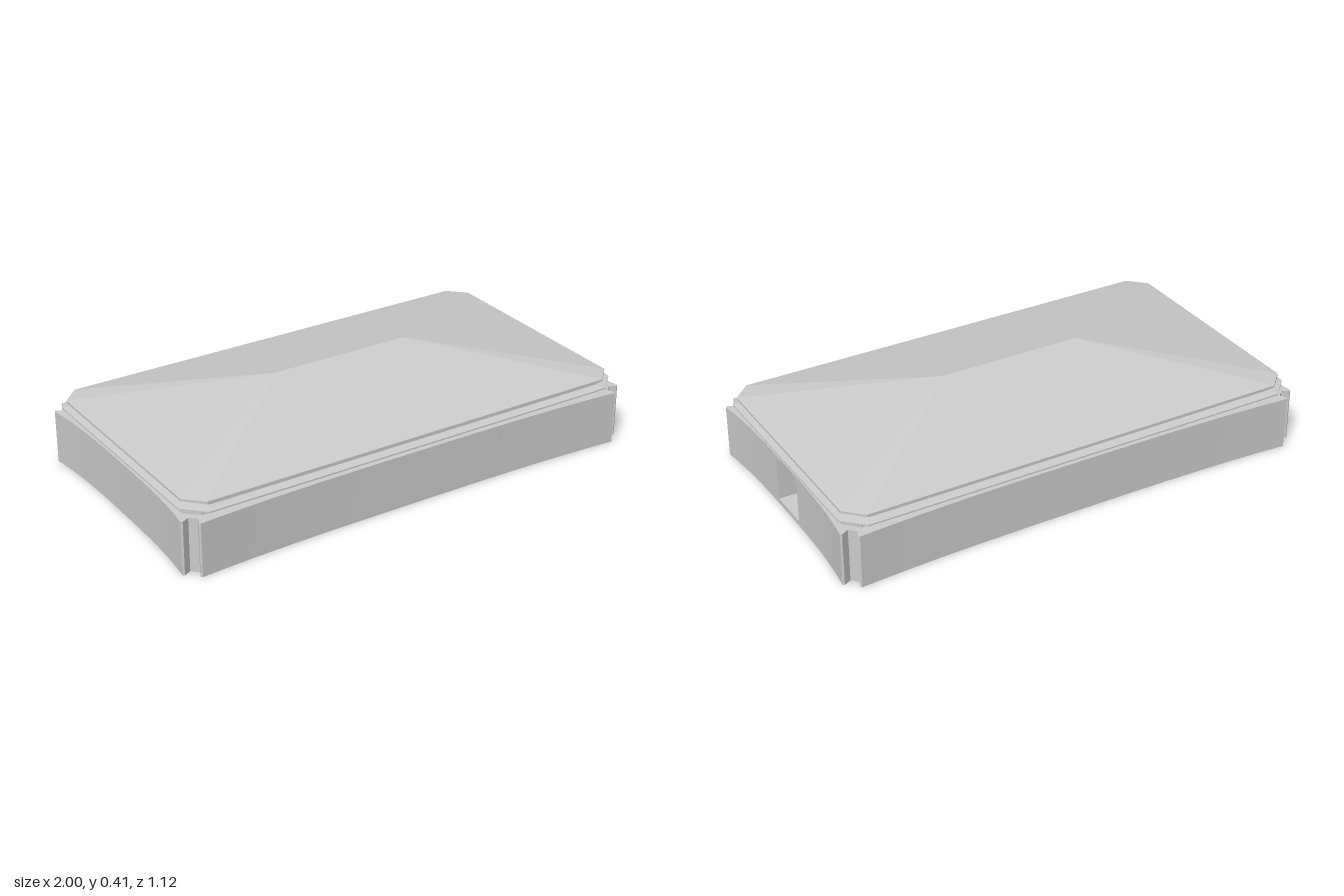
import * as THREE from 'three';

const grey = new THREE.MeshStandardMaterial({ color: 0xcccccc });
const flat = new THREE.MeshStandardMaterial({ color: 0xcccccc, flatShading: true, side: THREE.DoubleSide });

const WALL_H = 0.22;
const FLARE = 0.025;
// Half length of each wall and its distance from the centre (before the flared ends)
const LONG = { half: 0.945, base: 0.535 };
const SHORT = { half: 0.51, base: 0.975 };
const flare = (wall, u) => wall.base + FLARE * Math.abs(u / wall.half) ** 3;

function add(parent, name, geometry, material = grey) {
  const mesh = new THREE.Mesh(geometry, material);
  mesh.name = name;
  parent.add(mesh);
  return mesh;
}

// Joins rings of equal point count with quads
function loft(rings, closed = true) {
  const pos = [];
  const n = rings[0].length;
  for (let r = 0; r < rings.length - 1; r++) {
    for (let i = 0; i < (closed ? n : n - 1); i++) {
      const j = (i + 1) % n;
      const [a, b, c, d] = [rings[r][i], rings[r + 1][i], rings[r + 1][j], rings[r][j]];
      pos.push(...a, ...b, ...c, ...a, ...c, ...d);
    }
  }
  const g = new THREE.BufferGeometry();
  g.setAttribute('position', new THREE.Float32BufferAttribute(pos, 3));
  g.computeVertexNormals();
  return g;
}

// Rectangle with cut corners at height y
function octagon(hx, hz, cut, y) {
  return [[hx, -hz + cut], [hx, hz - cut], [hx - cut, hz], [-hx + cut, hz],
    [-hx, hz - cut], [-hx, -hz + cut], [-hx + cut, -hz], [hx - cut, -hz]].map(([x, z]) => [x, y, z]);
}

// Wall strip from u = a to u = b, bowed out toward its ends
function wallStrip(wall, a, b) {
  const g = new THREE.PlaneGeometry(b - a, WALL_H, 24, 1).translate((a + b) / 2, WALL_H / 2, 0);
  const p = g.attributes.position;
  for (let i = 0; i < p.count; i++) p.setZ(i, flare(wall, p.getX(i)));
  g.computeVertexNormals();
  return g;
}

// Notched corner between two wall ends, as [x, z]
const CORNER = [[0.945, 0.56], [0.95, 0.553], [0.937, 0.525], [0.963, 0.5], [0.993, 0.515], [1, 0.51]];

// Plan of the walls, used for the floor and the top ledge
function planShape() {
  const pts = [];
  const side = (wall, place) => {
    for (let i = 1; i < 24; i++) {
      const u = wall.half * (i / 12 - 1);
      pts.push(place(u, flare(wall, u)));
    }
  };
  const corner = (sx, sz) => {
    const c = CORNER.map(([x, z]) => new THREE.Vector2(x * sx, z * sz));
    pts.push(...(sx * sz > 0 ? c.reverse() : c));
  };
  side(SHORT, (u, d) => new THREE.Vector2(d, u));
  corner(1, 1);
  side(LONG, (u, d) => new THREE.Vector2(-u, d));
  corner(-1, 1);
  side(SHORT, (u, d) => new THREE.Vector2(-d, -u));
  corner(-1, -1);
  side(LONG, (u, d) => new THREE.Vector2(u, -d));
  corner(1, -1);
  return new THREE.Shape(pts);
}

// Recessed doorway, built facing +z and turned to the left side
function doorway() {
  const door = new THREE.Group();
  door.name = 'doorway';
  const opening = [[-0.09, 0.02], [0.09, 0.02], [0.09, 0.19], [0.03, 0.22], [-0.03, 0.22], [-0.09, 0.19]];
  const back = [[-0.09, 0.02], [0.09, 0.02], [0.09, 0.16], [0.03, 0.16], [-0.03, 0.16], [-0.09, 0.16]];
  const front = SHORT.base;
  const depth = 0.15;
  add(door, 'nicheSides', loft([
    opening.map(([x, y]) => [x, y, front]),
    back.map(([x, y]) => [x, y, front - depth]),
  ]), flat);
  add(door, 'nicheBack', new THREE.PlaneGeometry(0.18, 0.14).translate(0, 0.09, front - depth));
  add(door, 'doorPanel', new THREE.BoxGeometry(0.18, 0.095, 0.03).translate(0, 0.0675, front - depth + 0.015));
  add(door, 'doorRail', new THREE.BoxGeometry(0.18, 0.015, 0.015).translate(0, 0.1225, front - depth + 0.0075));
  // Wall surface around the opening
  add(door, 'doorSill', new THREE.PlaneGeometry(0.18, 0.02).translate(0, 0.01, front));
  for (const s of [-1, 1]) {
    const spandrel = new THREE.Shape([[0.09, 0.19], [0.09, 0.22], [0.03, 0.22]].map(([x, y]) => new THREE.Vector2(x * s, y)));
    add(door, 'doorSpandrel', new THREE.ShapeGeometry(spandrel).translate(0, 0, front));
  }
  door.rotation.y = Math.PI / 2;
  return door;
}

export function createModel() {
  const model = new THREE.Group();
  model.name = 'building';

  // Walls
  const walls = new THREE.Group();
  walls.name = 'walls';
  model.add(walls);
  add(walls, 'frontWall', wallStrip(LONG, -LONG.half, LONG.half));
  add(walls, 'backWall', wallStrip(LONG, -LONG.half, LONG.half)).rotation.y = Math.PI;
  add(walls, 'rightWall', wallStrip(SHORT, -SHORT.half, SHORT.half)).rotation.y = -Math.PI / 2;
  add(walls, 'leftWallFront', wallStrip(SHORT, -SHORT.half, -0.09)).rotation.y = Math.PI / 2;
  add(walls, 'leftWallBack', wallStrip(SHORT, 0.09, SHORT.half)).rotation.y = Math.PI / 2;
  for (const sx of [-1, 1]) for (const sz of [-1, 1]) {
    const ring = (y) => CORNER.map(([x, z]) => [x * sx, y, z * sz]);
    add(walls, 'cornerPier', loft([ring(0), ring(WALL_H)], false), flat);
  }
  model.add(doorway());

  // Floor and top ledge
  const plan = planShape();
  add(model, 'floor', new THREE.ShapeGeometry(plan).rotateX(Math.PI / 2));
  add(model, 'wallTop', new THREE.ShapeGeometry(plan).rotateX(-Math.PI / 2).translate(0, WALL_H, 0));

  // Stepped cornice
  add(model, 'cornice', loft([
    octagon(0.965, 0.51, 0.05, 0.22),
    octagon(0.965, 0.51, 0.05, 0.232),
    octagon(0.945, 0.5, 0.05, 0.237),
    octagon(0.985, 0.55, 0.08, 0.244),
    octagon(0.985, 0.55, 0.08, 0.25),
    octagon(0.95, 0.515, 0.065, 0.256),
    octagon(0.95, 0.515, 0.065, 0.266),
    octagon(0.97, 0.53, 0.07, 0.27),
  ]), flat);

  // Hipped roof with cut corners
  add(model, 'roof', loft([
    octagon(0.97, 0.53, 0.07, 0.27),
    octagon(0.97, 0.53, 0.07, 0.28),
    octagon(0.3, 0, 0, 0.41),
  ]), flat);

  return model;
}
